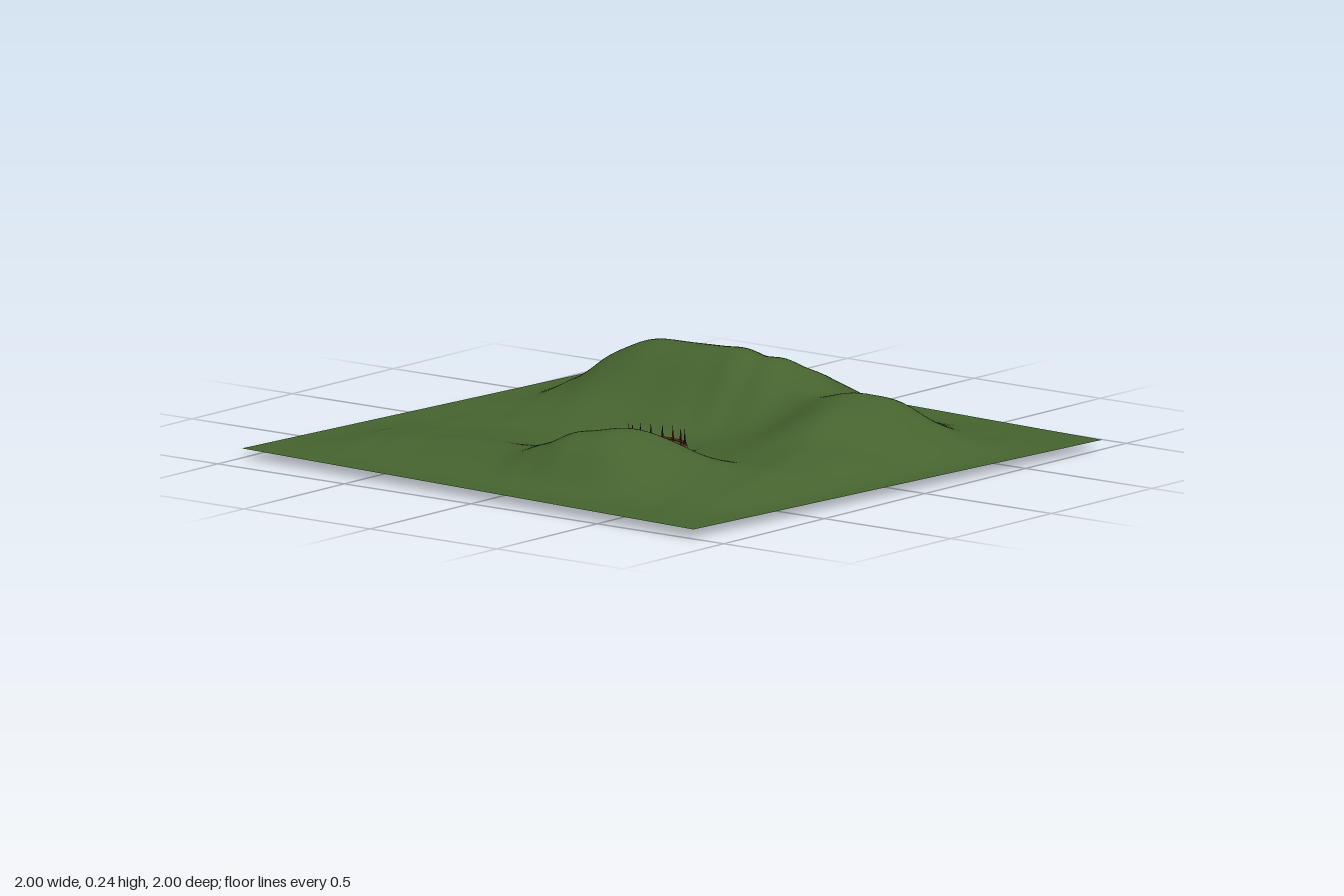
import * as THREE from 'three';

const mat = (name, color, side = THREE.FrontSide) => {
  const m = new THREE.MeshStandardMaterial({ color, side });
  m.name = name;
  return m;
};

const HALF = 0.942;              // half the side of the ground square
const YAW = 0.0637;              // slight turn of the square
const PIT = { x: -0.06, z: 0, rx: 0.11, rz: 0.057 };

// bell curve with separate widths on the low and high side
const bell = (t, c, lo, hi, p = 2) => Math.exp(-Math.pow(Math.abs(t - c) / (t < c ? lo : hi), p));

// gentle folds in the ground
const folds = (x, z) =>
  0.5 * Math.sin(17 * x + 4 * z + 1.7 * Math.sin(7 * z)) +
  0.35 * Math.sin(29 * x - 13 * z + 2 * Math.sin(9 * x)) +
  0.3 * Math.sin(23 * z + 9 * x);

function groundHeight(x, z, u, v) {
  const edge = THREE.MathUtils.smoothstep(HALF - Math.max(Math.abs(u), Math.abs(v)), 0, 0.2);
  let h = 0;
  h += 0.207 * bell(x, -0.22, 0.47, 0.47, 4) * bell(z, -0.48, 0.29, 0.22);   // long back ridge
  h += 0.165 * bell(x, 0.47, 0.22, 0.29) * bell(z, -0.33, 0.25, 0.36);       // back left hill
  h += 0.115 * bell(x, 0.2, 0.26, 0.24) * bell(z, 0.53, 0.22, 0.22, 4);      // front hill
  h += 0.04 * bell(x, 0, 0.82, 0.82, 6) * bell(z, 0.54, 0.24, 0.22);         // low front ridge
  h += 0.04 * bell(x, 0.62, 0.22, 0.22) * bell(z, 0.2, 0.3, 0.3);            // low side ridge
  h -= 0.022 * bell(x, -0.17, 0.26, 0.26) * bell(z, 0.06, 0.14, 0.2);        // basin
  h += folds(x, z) * (0.0015 + 0.05 * Math.max(h, 0));
  h = 0.03 + h * edge;
  const d = Math.hypot((x - PIT.x) / 0.135, (z - PIT.z) / 0.08);
  return Math.max(0, THREE.MathUtils.lerp(h, 0, Math.exp(-Math.pow(d, 4))));
}

export function createModel() {
  const group = new THREE.Group();
  const grass = mat('grass green', 0x46642f, THREE.DoubleSide);
  const dark = mat('pit dark green', 0x1c2a19, THREE.DoubleSide);
  const red = mat('gum red', 0x6b2222);
  const tooth = mat('tooth dark', 0x2e2018);
  const add = (name, geo, material, parent = group) => {
    const mesh = new THREE.Mesh(geo, material);
    mesh.name = name;
    parent.add(mesh);
    return mesh;
  };

  // rolling ground
  const ground = new THREE.PlaneGeometry(2 * HALF, 2 * HALF, 128, 128).rotateX(-Math.PI / 2);
  const p = ground.attributes.position;
  const c = Math.cos(YAW), s = Math.sin(YAW);
  for (let i = 0; i < p.count; i++) {
    const u = p.getX(i), v = p.getZ(i);
    const x = u * c - v * s, z = u * s + v * c;
    p.setXYZ(i, x, groundHeight(x, z, u, v), z);
  }
  ground.computeVertexNormals();
  add('ground', ground, grass);

  // pointed oval mouth in the basin
  const mouth = new THREE.Group();
  mouth.name = 'mouth';
  mouth.position.set(PIT.x, 0, PIT.z);
  group.add(mouth);
  const oval = (a, k = 1) => [
    Math.cos(a) * PIT.rx * k,
    Math.sin(a) * PIT.rz * k * (0.85 + 0.15 * Math.abs(Math.sin(a))),
  ];
  const outline = Array.from({ length: 48 }, (_, i) => new THREE.Vector2(...oval((i / 48) * Math.PI * 2)));
  add('throat', new THREE.ShapeGeometry(new THREE.Shape(outline)).rotateX(-Math.PI / 2), dark, mouth).position.y = 0.018;

  // lip and gum rings
  const ring = (k, y) => new THREE.CatmullRomCurve3(
    outline.map(q => new THREE.Vector3(q.x * k, y, q.y * k)), true);
  add('lip', new THREE.TubeGeometry(ring(1, 0.024), 64, 0.005, 6, true), grass, mouth);
  add('gum', new THREE.TubeGeometry(ring(0.98, 0.032), 64, 0.004, 6, true), red, mouth);

  // teeth around the rim
  const toothGeo = new THREE.ConeGeometry(0.004, 0.045, 6);
  for (let i = 0; i < 16; i++) {
    const [x, z] = oval(((i + 0.5) / 16) * Math.PI * 2, 0.96);
    add('tooth', toothGeo, i % 4 === 0 ? red : tooth, mouth).position.set(x, 0.054, z);
  }
  return group;
}
